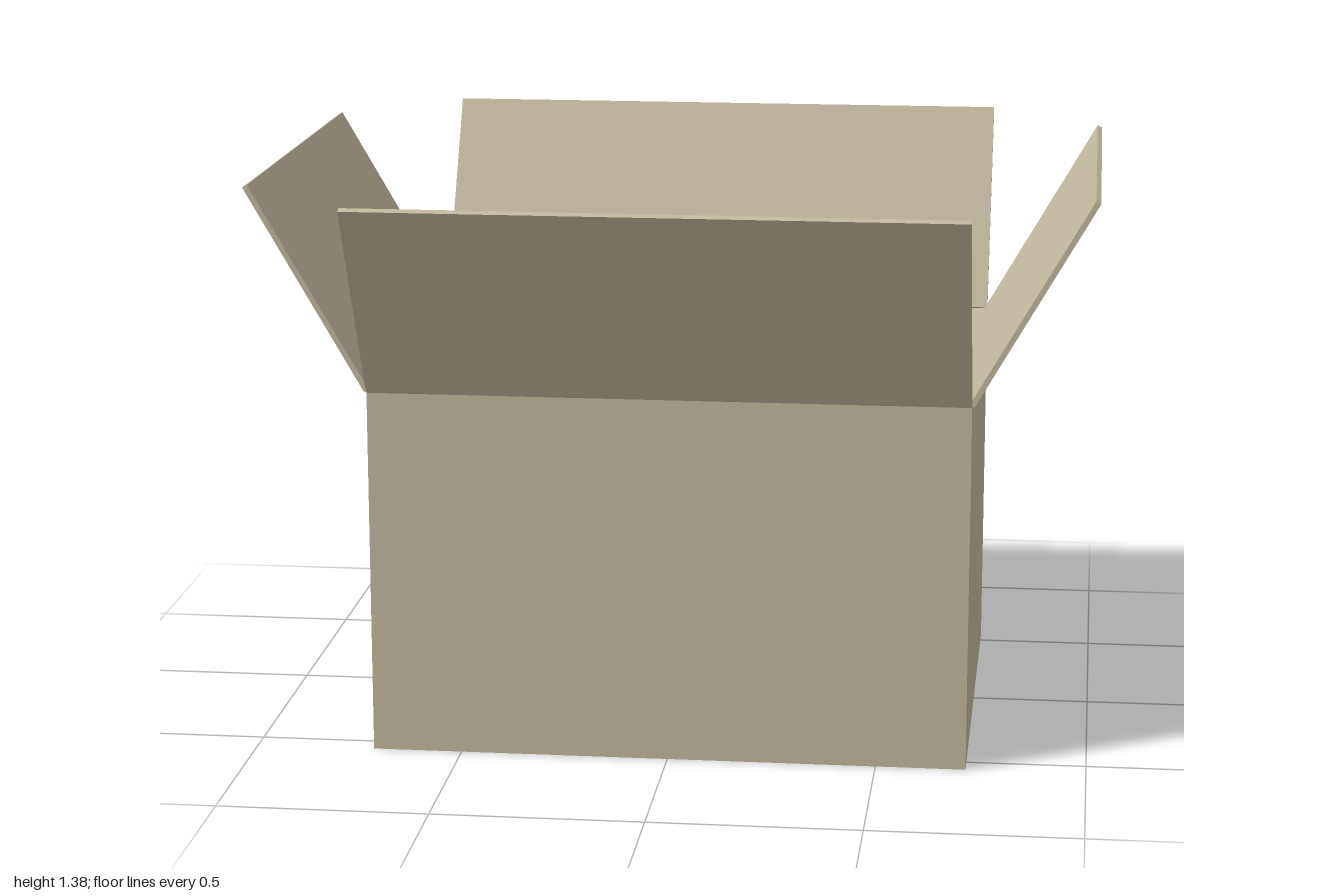
import * as THREE from 'three';

const WIDTH = 1.43, DEPTH = 1.11, HEIGHT = 0.89;
const FLAP_LENGTH = 0.56, THICKNESS = 0.013;

export function createModel() {
  const model = new THREE.Group();
  model.name = 'openCarton';
  const cardboard = new THREE.MeshStandardMaterial({ color: 0xc2b89f });
  const dark = new THREE.MeshStandardMaterial({ color: 0x353332 });

  function box(name, size, position, material, parent = model) {
    const mesh = new THREE.Mesh(new THREE.BoxGeometry(...size), material);
    mesh.name = name;
    mesh.position.set(...position);
    parent.add(mesh);
    return mesh;
  }

  // Filled carton with a flat slab lying off-centre on top
  box('cartonBody', [WIDTH, HEIGHT, DEPTH], [0, HEIGHT / 2, 0], cardboard);
  box('slab', [0.95, 0.1, 0.64], [-0.065, HEIGHT + 0.05, 0.03], dark);

  // Four flaps hinged on the rim, leaning outward 30 degrees from vertical
  ['front', 'left', 'back', 'right'].forEach((side, i) => {
    const [width, reach] = i % 2 ? [DEPTH, WIDTH / 2] : [WIDTH, DEPTH / 2];
    const turn = new THREE.Group();
    turn.name = side + 'FlapHinge';
    turn.rotation.y = i * Math.PI / 2;
    const flap = box(side + 'Flap', [width, FLAP_LENGTH, THICKNESS], [0, HEIGHT, reach], cardboard, turn);
    flap.geometry.translate(0, FLAP_LENGTH / 2, 0);
    flap.rotation.x = Math.PI / 6;
    model.add(turn);
  });

  return model;
}
